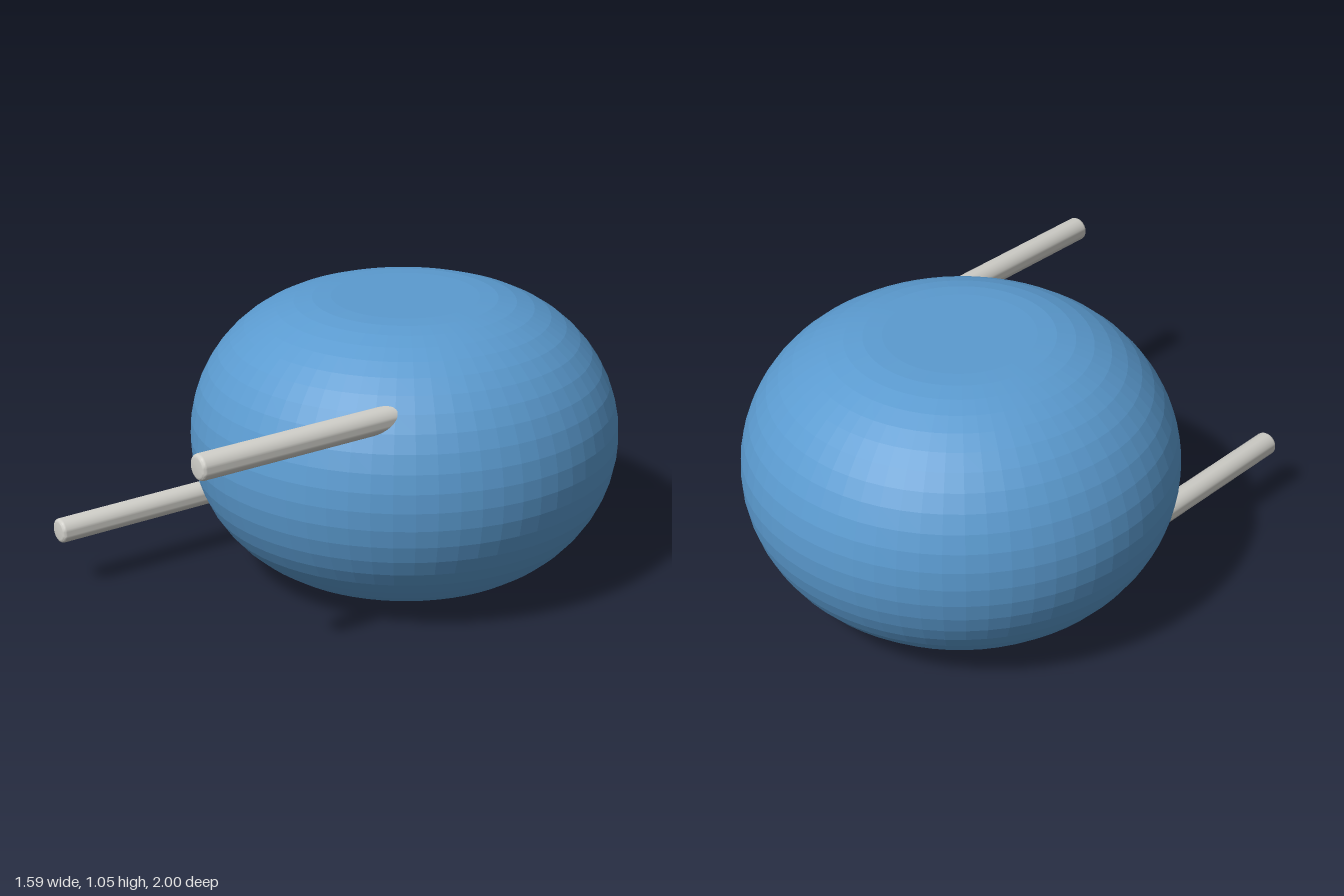
import * as THREE from 'three';
import { toCreasedNormals } from 'three/addons/utils/BufferGeometryUtils.js';

const V = (x, y) => new THREE.Vector2(x, y);

// Disc body: flat top and bottom joined by a half-round rim
function makeBody() {
  const half = 0.525, flat = 0.272, steps = 24;
  const profile = [V(0, -half)];
  for (let i = 0; i <= steps; i++) {
    const a = -Math.PI / 2 + (Math.PI * i) / steps;
    profile.push(V(flat + half * Math.cos(a), half * Math.sin(a)));
  }
  profile.push(V(0, half));
  const body = new THREE.Mesh(
    new THREE.LatheGeometry(profile, 64),
    new THREE.MeshStandardMaterial({ color: 0x5b9bd0, flatShading: true })
  );
  body.name = 'discBody';
  body.position.set(0, half, -0.203);
  return body;
}

// Wire lead with a softened tip, running forward from inside the body
function makeLead(name, x, y, material) {
  const r = 0.046, length = 1.1, bevel = 0.014, steps = 4;
  const profile = [V(0, 0), V(r, 0)];
  for (let i = 0; i <= steps; i++) {
    const a = (Math.PI / 2) * (i / steps);
    profile.push(V(r - bevel + bevel * Math.cos(a), length - bevel + bevel * Math.sin(a)));
  }
  profile.push(V(0, length));
  const geometry = toCreasedNormals(new THREE.LatheGeometry(profile, 32), 0.6);
  geometry.rotateX(Math.PI / 2);
  const lead = new THREE.Mesh(geometry, material);
  lead.name = name;
  lead.position.set(x, y, 1 - length);
  return lead;
}

export function createModel() {
  const group = new THREE.Group();
  group.name = 'discComponent';
  const metal = new THREE.MeshStandardMaterial({ color: 0xcfcec8 });
  group.add(
    makeBody(),
    makeLead('leftLead', 0.497, 0.822, metal),
    makeLead('rightLead', -0.502, 0.236, metal)
  );
  return group;
}
